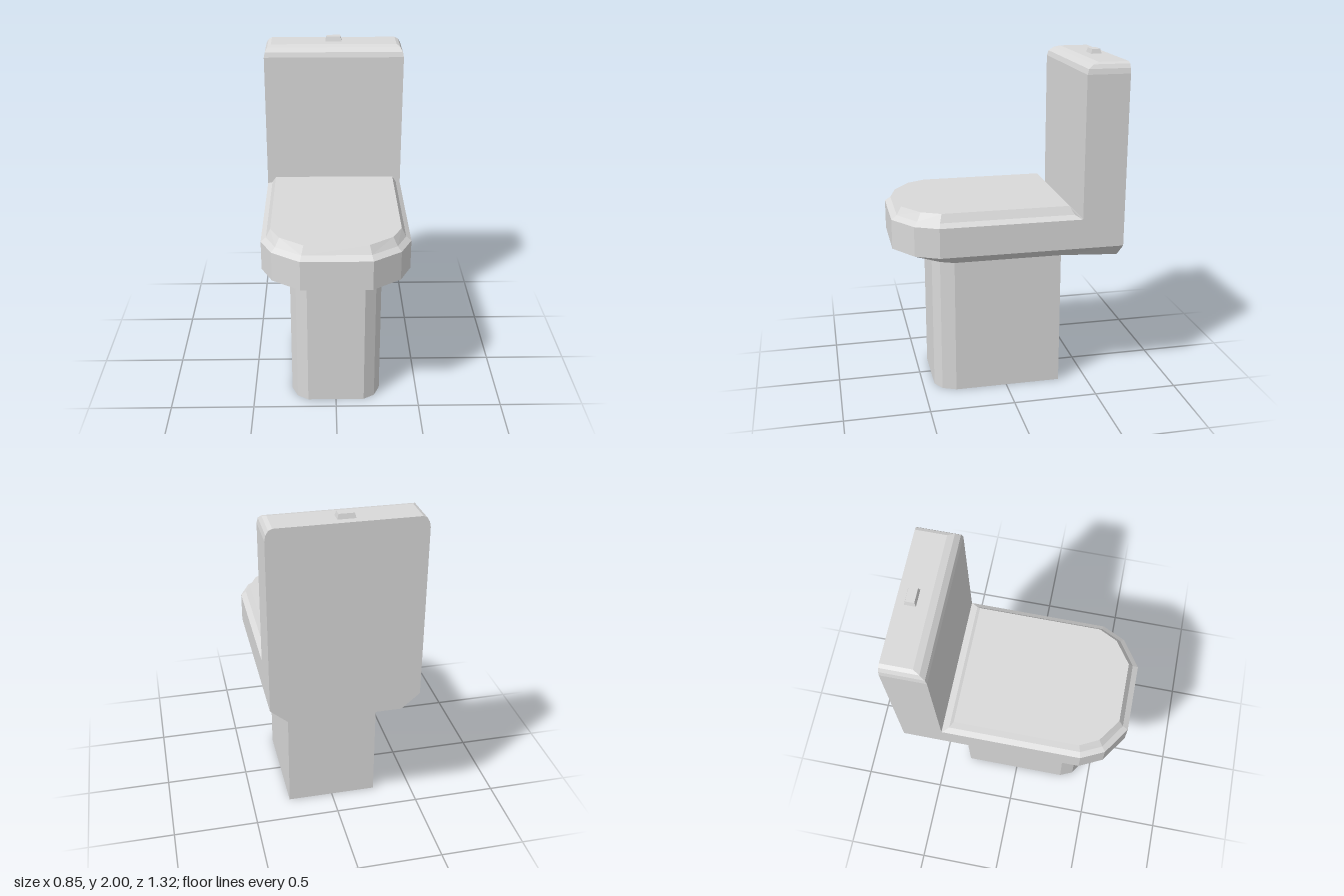
import * as THREE from 'three';

const ceramic = new THREE.MeshStandardMaterial({ color: 0xd9d9d9 });
ceramic.name = 'ceramic';

// Lofts closed, left-right symmetric sections, listed from bottom to top.
// Each section is { y, half }, half holding [x, z] points from back to front on the +x side.
function loft(name, sections) {
  const rings = sections.map(({ y, half }) => [
    ...half.map(([x, z]) => [x, y, z]),
    ...half.slice().reverse().map(([x, z]) => [-x, y, z]),
  ]);
  const n = rings[0].length;
  const pos = [];
  const tri = (a, b, c) => pos.push(...a, ...b, ...c);

  // Side walls
  for (let k = 0; k + 1 < rings.length; k++) {
    const lo = rings[k], hi = rings[k + 1];
    for (let i = 0; i < n; i++) {
      const j = (i + 1) % n;
      if (i < n / 2) {
        tri(lo[j], lo[i], hi[i]);
        tri(lo[j], hi[i], hi[j]);
      } else { // mirrored diagonal
        tri(lo[j], lo[i], hi[j]);
        tri(lo[i], hi[i], hi[j]);
      }
    }
  }

  // Bottom and top caps, made of strips across the model
  const bottom = rings[0], top = rings[rings.length - 1];
  for (let i = 0; i + 1 < n / 2; i++) {
    const c = n - 2 - i, d = n - 1 - i;
    tri(bottom[i], bottom[i + 1], bottom[c]);
    tri(bottom[i], bottom[c], bottom[d]);
    tri(top[i], top[c], top[i + 1]);
    tri(top[i], top[d], top[c]);
  }

  const geo = new THREE.BufferGeometry();
  geo.setAttribute('position', new THREE.Float32BufferAttribute(pos, 3));
  geo.computeVertexNormals();
  const mesh = new THREE.Mesh(geo, ceramic);
  mesh.name = name;
  return mesh;
}

// Rectangular section for the cistern and button
const rect = (y, x, back, front) => ({ y, half: [[x, back], [x, front]] });

export function createModel() {
  const group = new THREE.Group();
  group.name = 'toilet';

  // Pedestal with a faceted front
  const foot = [[0.27, -0.33], [0.27, 0.31], [0.235, 0.39], [0.17, 0.43]];
  group.add(loft('pedestal', [{ y: 0, half: foot }, { y: 0.82, half: foot }]));

  // Bowl flaring out from the pedestal, running back under the cistern
  const rim = [[0.425, -0.66], [0.425, -0.33], [0.425, 0.415], [0.36, 0.55], [0.2, 0.66]];
  group.add(loft('bowl', [
    { y: 0.82, half: [[0.32, -0.66], ...foot] },
    { y: 0.91, half: rim },
    { y: 1.085, half: rim },
  ]));

  // Lid with a concave bevel
  group.add(loft('lid', [
    { y: 1.085, half: [[0.425, -0.41], [0.425, 0.415], [0.36, 0.55], [0.2, 0.66]] },
    { y: 1.108, half: [[0.395, -0.37], [0.395, 0.408], [0.338, 0.528], [0.192, 0.627]] },
    { y: 1.155, half: [[0.37, -0.345], [0.37, 0.395], [0.315, 0.505], [0.18, 0.6]] },
  ]));

  // Cistern, rounded at the top of its front and sides
  group.add(loft('cistern', [
    rect(1.085, 0.425, -0.66, -0.412),
    rect(1.91, 0.425, -0.66, -0.412),
    rect(1.94, 0.419, -0.66, -0.421),
    rect(1.963, 0.405, -0.66, -0.45),
    rect(1.973, 0.384, -0.66, -0.486),
  ]));

  // Flush button
  group.add(loft('flushButton', [
    rect(1.97, 0.05, -0.615, -0.55),
    rect(2, 0.042, -0.607, -0.558),
  ]));

  return group;
}
